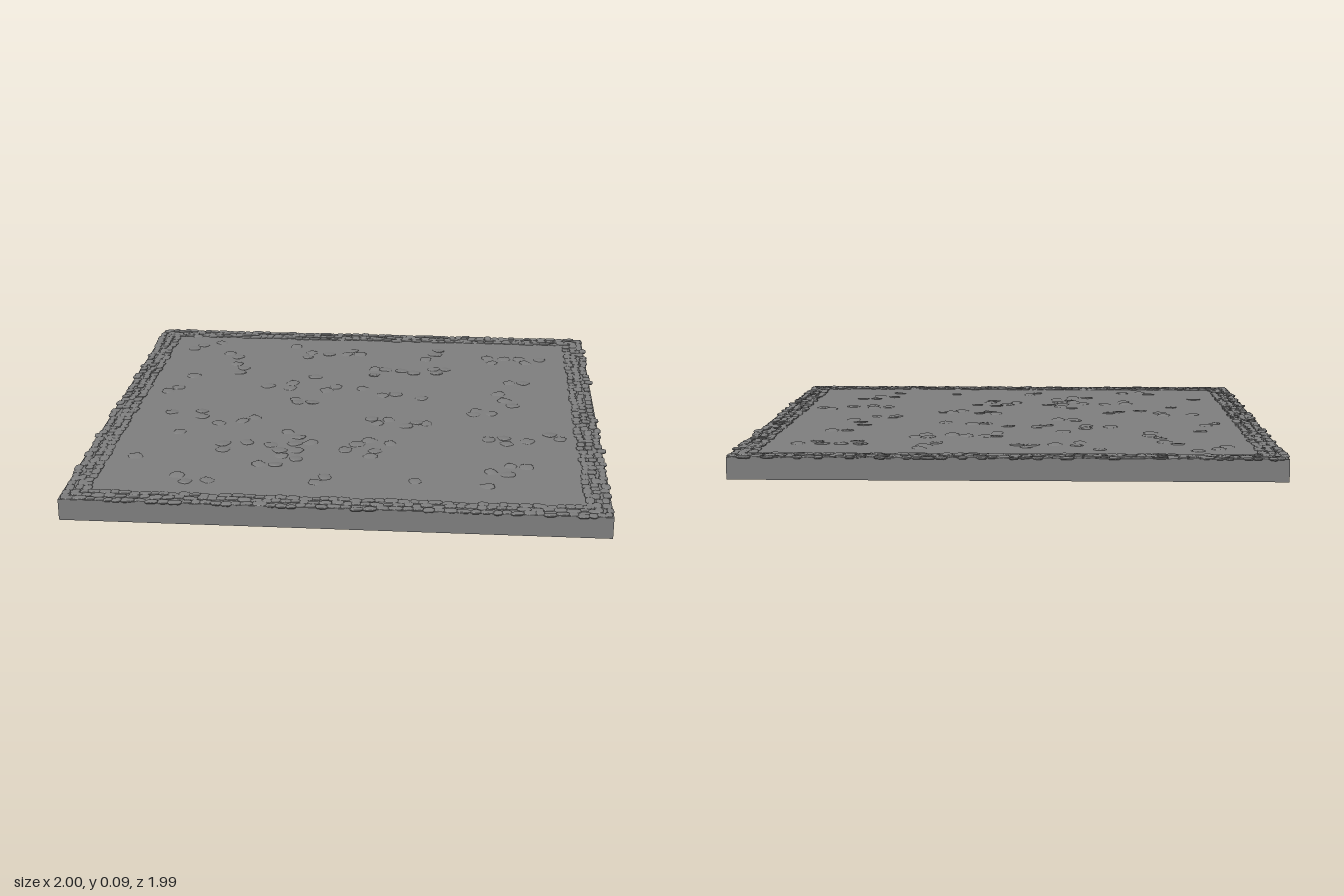
import * as THREE from 'three';
import { mergeGeometries, mergeVertices } from 'three/addons/utils/BufferGeometryUtils.js';

const SIZE = 1.965, TOP = 0.08;

// Centres (x, z) of the loose cobbles scattered over the tile
const COBBLES = [
  -0.76, -0.77, -0.68, -0.81, -0.62, -0.66, -0.57, -0.52, -0.54, -0.41, -0.33, -0.78,
  -0.25, -0.70, -0.17, -0.69, -0.09, -0.69, -0.07, -0.74, 0.31, -0.72, 0.27, -0.65,
  0.55, -0.68, 0.62, -0.68, 0.69, -0.68, 0.78, -0.68, 0.05, -0.49, 0.10, -0.50,
  0.17, -0.49, 0.31, -0.52, 0.36, -0.52, -0.73, -0.35, -0.77, -0.20, -0.39, -0.25,
  -0.29, -0.29, -0.20, -0.38, -0.10, -0.26, 0.02, -0.24, 0.16, -0.19, 0.27, -0.15,
  0.64, -0.36, 0.59, -0.22, 0.65, -0.09, 0.49, 0.02, 0.56, 0.01, -0.25, -0.09,
  -0.18, -0.07, -0.74, 0.09, -0.62, 0.07, -0.53, 0.20, -0.44, 0.17, -0.67, 0.31,
  0.10, 0.16, 0.15, 0.12, 0.22, 0.17, 0.30, 0.14, -0.24, 0.28, -0.39, 0.39,
  -0.48, 0.41, -0.29, 0.41, -0.20, 0.39, -0.19, 0.46, 0.04, 0.38, 0.00, 0.44,
  0.10, 0.50, 0.17, 0.37, 0.79, 0.22, 0.55, 0.29, 0.62, 0.33, 0.70, 0.30,
  -0.24, 0.52, -0.18, 0.54, -0.25, 0.60, -0.79, 0.57, -0.60, 0.74, -0.48, 0.77,
  -0.08, 0.76, 0.28, 0.72, 0.62, 0.63, 0.54, 0.75, 0.69, 0.56,
];

function seeded(seed) {
  return () => {
    seed = (seed * 16807) % 2147483647;
    return seed / 2147483647;
  };
}

// Unit pebble: a closed, nearly flat-topped stone with a squared-off outline
function pebbleGeometry() {
  const profile = [[0, -1], [0.85, -0.9], [1, 0], [0.95, 0.6], [0.8, 0.92], [0, 1]]
    .map(([r, y]) => new THREE.Vector2(r, y));
  const geo = new THREE.LatheGeometry(profile, 12);
  const pos = geo.attributes.position;
  for (let i = 0; i < pos.count; i++) {
    const a = Math.atan2(pos.getZ(i), pos.getX(i));
    const k = (Math.cos(a) ** 4 + Math.sin(a) ** 4) ** -0.25;
    pos.setX(i, pos.getX(i) * k);
    pos.setZ(i, pos.getZ(i) * k);
  }
  geo.deleteAttribute('uv');
  geo.deleteAttribute('normal');
  const smooth = mergeVertices(geo, 1e-4);
  smooth.computeVertexNormals();
  return smooth;
}

export function createModel() {
  const group = new THREE.Group();
  const material = new THREE.MeshStandardMaterial({ color: 0x808080 });
  const rand = seeded(4217);
  const spread = (s) => (rand() * 2 - 1) * s;
  const pebble = pebbleGeometry();

  const add = (name, geometry) => {
    const mesh = new THREE.Mesh(geometry, material);
    mesh.name = name;
    group.add(mesh);
    return mesh;
  };

  // Half sizes (w, h, d), position and small rotations of one stone
  const stone = (x, y, z, w, h, d, turn, tilt) => {
    const rotation = new THREE.Euler(spread(tilt), turn, spread(tilt));
    return pebble.clone().applyMatrix4(new THREE.Matrix4().compose(
      new THREE.Vector3(x, y, z),
      new THREE.Quaternion().setFromEuler(rotation),
      new THREE.Vector3(w, h, d)));
  };

  // Square slab
  add('slab', new THREE.BoxGeometry(SIZE, TOP, SIZE)).position.y = TOP / 2;

  // Loose cobbles, partly sunk and tilted; every other one has a close neighbour
  const cobbles = [];
  const addCobble = (x, z) => cobbles.push(stone(x, TOP - 0.003, z,
    0.028 + spread(0.004), 0.006, 0.025 + spread(0.003), rand() * Math.PI, 0.12));
  for (let i = 0; i < COBBLES.length; i += 2) {
    const [x, z] = [COBBLES[i], COBBLES[i + 1]];
    addCobble(x, z);
    if (i % 4 === 0) {
      const a = rand() * Math.PI * 2;
      addCobble(x + 0.06 * Math.cos(a), z + 0.06 * Math.sin(a));
    }
  }
  add('scatteredCobbles', mergeGeometries(cobbles));

  // Border of small paving stones, three uneven courses along each edge
  for (const [side, angle] of [['front', 0], ['left', 1], ['back', 2], ['right', 3]]) {
    const stones = [];
    for (let row = 0; row < 3; row++) {
      const z = 0.964 - row * 0.029;
      const end = 0.975 - row * 0.029;
      let x = -end;
      while (x < end - 0.02) {
        const w = Math.min(0.026 + rand() * 0.024, end - x);
        const d = 0.013 + rand() * 0.005;
        const push = row === 0 ? rand() ** 2 * 0.018 : spread(0.007);
        stones.push(stone(x + w / 2, TOP - 0.001 + rand() * 0.002, z + push,
          w / 2 + 0.002, 0.004, d, spread(0.1), 0.07));
        x += w;
      }
    }
    add(side + 'BorderStones', mergeGeometries(stones)).rotation.y = angle * Math.PI / 2;
  }
  return group;
}
